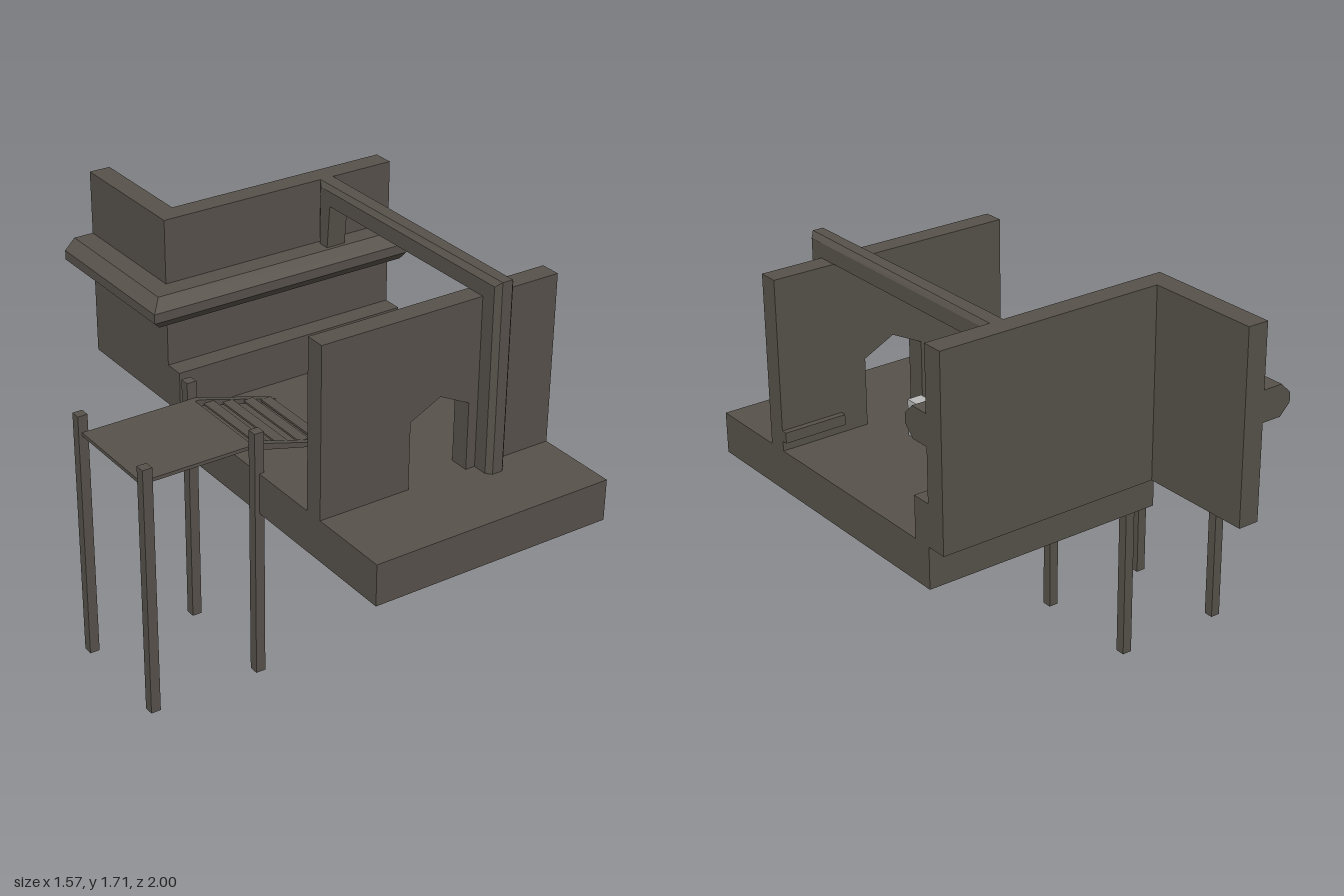
import * as THREE from 'three';

const stone = new THREE.MeshStandardMaterial({ color: 0x57524b });
stone.name = 'dark stone';
const pale = new THREE.MeshStandardMaterial({ color: 0xb8b8b8 });
pale.name = 'pale grey';

// Box given by its min and max corners
function box(name, x0, x1, y0, y1, z0, z1, mat = stone) {
  const mesh = new THREE.Mesh(new THREE.BoxGeometry(x1 - x0, y1 - y0, z1 - z0), mat);
  mesh.position.set((x0 + x1) / 2, (y0 + y1) / 2, (z0 + z1) / 2);
  mesh.name = name;
  return mesh;
}

// Flat-shaded solid joining equal-length convex cross-sections, capped at both ends
function loft(name, sections) {
  const tris = [];
  const n = sections[0].length;
  for (let s = 0; s + 1 < sections.length; s++) {
    for (let i = 0; i < n; i++) {
      const j = (i + 1) % n, a = sections[s], b = sections[s + 1];
      tris.push([a[i], a[j], b[j]], [a[i], b[j], b[i]]);
    }
  }
  const first = sections[0], last = sections[sections.length - 1];
  for (let i = 1; i + 1 < n; i++) {
    tris.push([first[0], first[i + 1], first[i]], [last[0], last[i], last[i + 1]]);
  }
  // Signed volume tells whether the faces point outwards
  const v = (p) => new THREE.Vector3(...p);
  let volume = 0;
  for (const [a, b, c] of tris) volume += v(a).dot(v(b).cross(v(c)));
  if (volume < 0) tris.forEach((t) => t.reverse());
  const geo = new THREE.BufferGeometry();
  geo.setAttribute('position', new THREE.Float32BufferAttribute(tris.flat(2), 3));
  geo.computeVertexNormals();
  const mesh = new THREE.Mesh(geo, stone);
  mesh.name = name;
  return mesh;
}

export function createModel() {
  const model = new THREE.Group();
  model.name = 'ruinedGatehouse';

  // Floor slab and the step against the back wall
  model.add(box('floorSlab', -0.28, 0.785, 0.737, 0.913, -0.42, 1));
  model.add(box('backStep', -0.28, 0.785, 0.913, 1.09, -0.42, -0.335));

  // Front wall with a pointed doorway
  const outline = [[-0.28, 0.913], [0.12, 0.913], [0.12, 1.2], [0.255, 1.267], [0.39, 1.2],
    [0.39, 0.913], [0.785, 0.913], [0.785, 1.63], [-0.28, 1.63]];
  const wallShape = new THREE.Shape(outline.map(([x, y]) => new THREE.Vector2(x, y)));
  const frontWall = new THREE.Mesh(
    new THREE.ExtrudeGeometry(wallShape, { depth: 0.085, bevelEnabled: false }), stone);
  frontWall.position.z = 0.56;
  frontWall.name = 'frontWall';
  model.add(frontWall);
  model.add(box('wallRail', 0.51, 0.785, 0.955, 1, 0.535, 0.56));

  // Back wall turning into a side wing
  model.add(box('backWall', -0.28, 0.785, 0.913, 1.713, -0.51, -0.42));
  model.add(box('wingWall', -0.28, -0.19, 0.913, 1.713, -1, -0.51));

  // Chamfered ledge mitred round the outer corner: offset from wall, height
  const ledge = [[0, 1.315], [0.085, 1.315], [0.13, 1.36], [0.13, 1.4], [0.085, 1.445], [0, 1.445]];
  model.add(loft('ledge', [
    ledge.map(([d, y]) => [0.785, y, -0.42 + d]),
    ledge.map(([d, y]) => [-0.28 - d, y, -0.42 + d]),
    ledge.map(([d, y]) => [-0.28 - d, y, -1]),
  ]));

  // Chamfered frame: front post, beam over the wall, short rear bracket
  // Each station: inner z, inner y, outer z, outer y, outer half width
  const stations = [
    [0.645, 0.913, 0.73, 0.913, 0.023],
    [0.645, 1.63, 0.73, 1.713, 0.023],
    [-0.335, 1.63, -0.42, 1.713, 0.03],
    [-0.352, 1.44, -0.42, 1.44, 0.03],
  ];
  model.add(loft('frame', stations.map(([zi, yi, zo, yo, w]) => {
    const at = (dx, t) => [0.475 + dx, yi + (yo - yi) * t, zi + (zo - zi) * t];
    return [at(-0.043, 0), at(0.043, 0), at(0.043, 0.75), at(w, 1), at(-w, 1), at(-0.043, 0.75)];
  })));

  // Landing deck on four tall posts
  model.add(box('deck', -0.77, -0.28, 1.003, 1.018, -0.245, 0.197));
  for (const x of [-0.785, -0.3]) {
    for (const z of [-0.287, 0.197]) {
      model.add(box('deckPost', x, x + 0.042, 0, 1.09, z, z + 0.042));
    }
  }

  // Stairs down to the floor: two stringers and open treads
  for (const z of [-0.245, 0.172]) {
    const side = [[-0.28, 1.018], [-0.26, 1.018], [0.1, 0.915], [0.04, 0.913], [-0.28, 0.995]];
    model.add(loft('stairStringer', [z, z + 0.025].map((w) => side.map(([x, y]) => [x, y, w]))));
  }
  [-0.24, -0.153, -0.055, 0.027].forEach((x, i) => {
    const y = 0.987 - i * 0.021;
    model.add(box('stairTread', x, x + 0.045, y, y + 0.009, -0.222, 0.174));
  });

  // Small pale block standing inside the doorway
  model.add(box('paleBlock', 0.252, 0.317, 0.914, 1.07, 0.285, 0.378, pale));

  return model;
}
